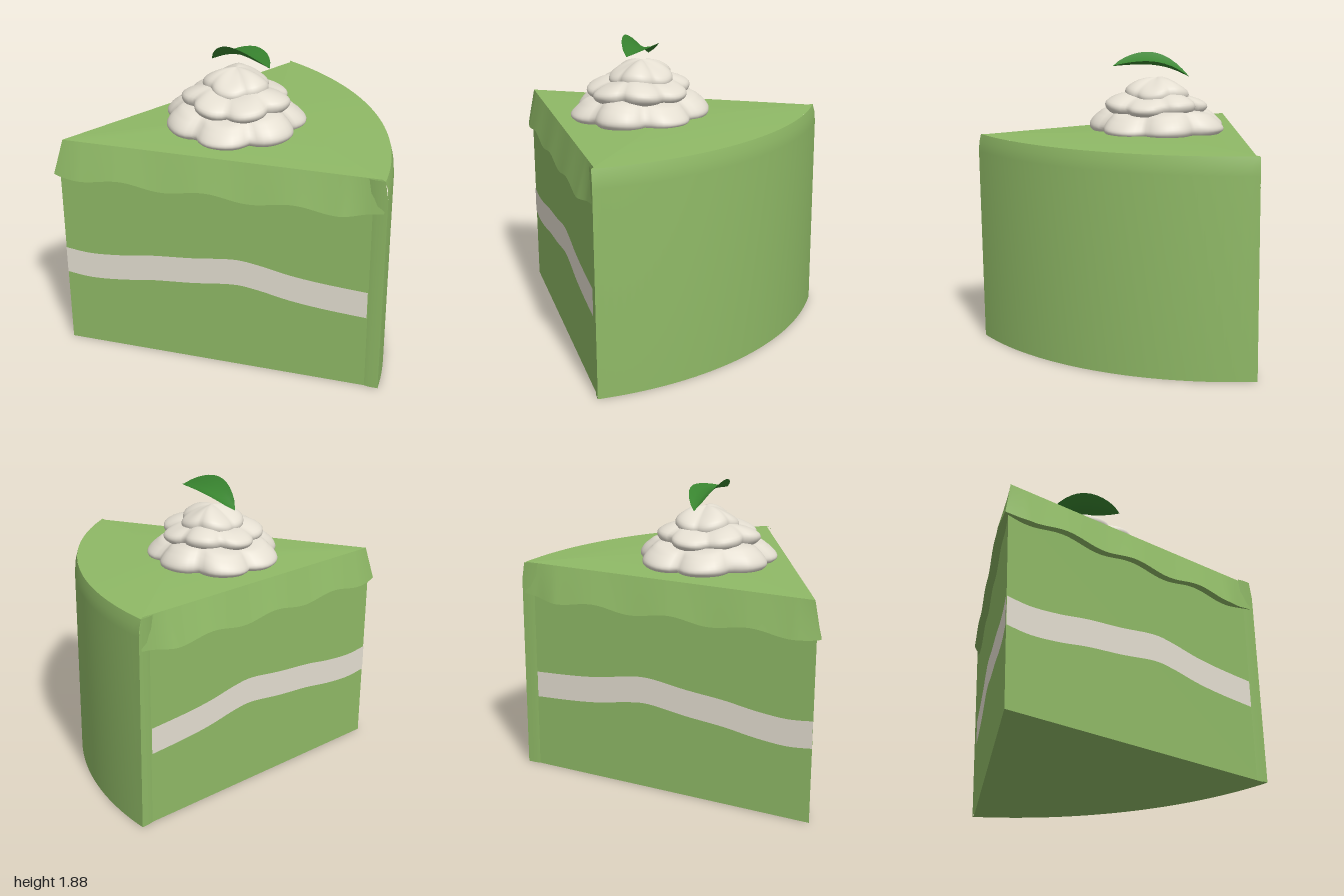
import * as THREE from 'three';
import { mergeVertices, toCreasedNormals } from 'three/addons/utils/BufferGeometryUtils.js';

const APEX = { x: -0.96, z: 0.82 }, WEDGE = Math.PI / 3, R = 1.957, TOP = 1.36;
const INSET = -0.013, RIM_ANGLE = 0.004;
const V = (x, y, z) => new THREE.Vector3(x, y, z);
const range = (n, f) => Array.from({ length: n + 1 }, (_, i) => f(i / n));

// Surface through rows of points; rows go upward, points run to the right
function grid(rows, flip = false, crease = 0.6) {
  const n = rows[0].length, idx = [];
  for (let i = 0; i < rows.length - 1; i++) {
    for (let j = 0; j < n - 1; j++) {
      const a = i * n + j, b = a + 1, c = b + n, d = a + n;
      if (flip) idx.push(a, c, b, a, d, c);
      else idx.push(a, b, c, a, c, d);
    }
  }
  const g = new THREE.BufferGeometry().setFromPoints(rows.flat());
  g.setIndex(idx);
  return toCreasedNormals(g, crease);
}

// Point on a cut face: s along it from the tip, o outward; side -1 is the mirrored cut
function onCut(side, s, y, o) {
  if (side < 0) {
    const c = Math.cos(WEDGE / 2), d = -Math.sin(WEDGE / 2), k = 2 * (s * c + o * d);
    [s, o] = [k * c - s, k * d - o];
  }
  return V(APEX.x + s, y, APEX.z + o);
}
const onArc = (r, t, y) => {
  const a = -RIM_ANGLE + t * (WEDGE + 2 * RIM_ANGLE);
  return V(APEX.x + r * Math.cos(a), y, APEX.z - r * Math.sin(a));
};

// Piecewise linear lookup
function lerpTable(table, x) {
  for (let i = 1; i < table.length; i++) {
    const [x0, y0] = table[i - 1], [x1, y1] = table[i];
    if (x <= x1) return y0 + (y1 - y0) * Math.max(0, (x - x0) / (x1 - x0));
  }
  return table[table.length - 1][1];
}

// One scalloped, slightly uneven ring of whipped cream
function swirlGeometry(profile, lobes, depth, phase) {
  const curve = new THREE.SplineCurve(profile.map(p => new THREE.Vector2(...p)));
  const pts = curve.getPoints(16).map(p => new THREE.Vector2(Math.max(p.x, 0), p.y));
  let g = new THREE.LatheGeometry(pts, 72);
  g.deleteAttribute('uv');
  g.deleteAttribute('normal');
  const p = g.attributes.position;
  for (let i = 0; i < p.count; i++) {
    const x = p.getX(i), y = p.getY(i), z = p.getZ(i), a = Math.atan2(z, x);
    const lump = Math.abs(Math.sin((a + phase) * lobes / 2));
    const k = 1 - depth * Math.pow(1 - lump, 1.4) + 0.03 * Math.sin(2 * a + phase);
    const bob = Math.min(1, y * 12) * Math.min(1, Math.hypot(x, z) * 8);
    p.setXYZ(i, x * k, y + 0.014 * Math.sin(3 * a + phase) * bob, z * k);
  }
  g = mergeVertices(g, 1e-4);
  g.computeVertexNormals();
  return g;
}

export function createModel() {
  const model = new THREE.Group();
  const green = new THREE.MeshStandardMaterial({ color: 0x8fb966 });
  green.name = 'matchaGreen';
  const cream = new THREE.MeshStandardMaterial({ color: 0xe4ded1 });
  cream.name = 'cream';
  const leafGreen = new THREE.MeshStandardMaterial({ color: 0x38842f, side: THREE.DoubleSide });
  leafGreen.name = 'leafGreen';
  const add = (name, geometry, material) => {
    const m = new THREE.Mesh(geometry, material);
    m.name = name;
    model.add(m);
    return m;
  };

  // Sponge wedge
  const sector = new THREE.Shape();
  sector.moveTo(APEX.x, -APEX.z);
  sector.lineTo(APEX.x + 1.92, -APEX.z);
  sector.absarc(APEX.x, -APEX.z, 1.92, 0, WEDGE, false);
  sector.lineTo(APEX.x, -APEX.z);
  const sponge = new THREE.ExtrudeGeometry(sector, { depth: 1.25, bevelEnabled: false, curveSegments: 32 });
  add('sponge', sponge.rotateX(-Math.PI / 2), green);

  // Curved outer icing with a softened top edge and a bottom rim
  const wall = [[1.92, 0], [R, 0], [R, 1.25], [R - 0.005, 1.31], [R - 0.018, TOP]];
  add('outerIcing', grid(wall.map(([r, y]) => range(40, t => onArc(r, t, y)))), green);

  // Gently domed icing on top
  const tip = -Math.sqrt(3) * INSET;
  const edge = side => range(16, t => onCut(side, tip + t * (R - 0.018 - tip), TOP, INSET));
  const outline = [...edge(1), ...range(32, t => onArc(R - 0.018, t, TOP)), ...edge(-1).reverse().slice(0, -1)];
  outline.push(outline[0]);
  const centre = V(0.17, TOP, 0.16);
  add('topIcing', grid([1, 0.75, 0.5, 0.25, 0].map(f => outline.map(p => {
    const q = centre.clone().lerp(p, f);
    q.y += 0.02 * (1 - f * f);
    return q;
  }))), green);

  // Both cut faces: filling, icing edge and overhanging lip
  const filling = new THREE.SplineCurve([
    [0, 0.56], [0.16, 0.545], [0.36, 0.56], [0.56, 0.59], [0.81, 0.613], [1.06, 0.645],
    [1.21, 0.633], [1.41, 0.595], [1.61, 0.573], [1.87, 0.557],
  ].map(p => new THREE.Vector2(...p))).getPoints(45);
  const overhang = [[0, 0.019], [0.12, 0.046], [1.71, 0.046], [1.83, 0.016], [1.939, 0.009]];
  for (const side of [1, -1]) {
    const label = side > 0 ? 'front' : 'back', flip = side < 0;
    add(label + 'Filling', grid([-0.085, 0.085].map(h =>
      filling.map(p => onCut(side, p.x, p.y + h, 0.003))), flip), cream);

    const rim = [[1.865, -0.002], [1.9, 0.006], [R, 0.008]];
    add(label + 'IcingEdge', grid([0, 1.25, TOP].map((y, i) =>
      rim.map(([s, o]) => onCut(side, i === 2 ? s - 0.018 : s, y, o))), flip, 1), green);

    const lipRow = (f, inner) => range(80, t => {
      const s = t * 1.939, o = lerpTable(overhang, s);
      const wave = 1.145 + 0.016 * Math.cos((s - 0.91) / 0.52 * Math.PI * 2);
      const off = inner ? -0.002 : THREE.MathUtils.lerp(o, INSET, f);
      // Both lips meet in a mitre behind the tip
      const mitre = -Math.sqrt(3) * off * Math.max(0, 1 - s / 0.12);
      return onCut(side, s + mitre, THREE.MathUtils.lerp(wave, TOP, f), off);
    });
    add(label + 'Lip', grid([lipRow(0, true), lipRow(0), lipRow(0.5), lipRow(1)], flip), green);
  }

  // Whipped cream in three shrinking tiers
  const tiers = [
    ['lowerCream', [[0.4, 0], [0.435, 0.03], [0.43, 0.065], [0.38, 0.115], [0.3, 0.15], [0, 0.17]], 7, 0.16, -0.16, -0.04, TOP, 0.29],
    ['middleCream', [[0.2, 0], [0.29, 0.03], [0.33, 0.07], [0.31, 0.11], [0.2, 0.15], [0, 0.16]], 7, 0.16, 0.3, -0.025, 1.46, 0.3],
    ['topCream', [[0.16, 0], [0.2, 0.04], [0.2, 0.085], [0.15, 0.125], [0.07, 0.158], [0, 0.17]], 5, 0.13, 0.2, -0.03, 1.55, 0.28],
  ];
  for (const [name, profile, lobes, depth, phase, x, y, z] of tiers) {
    add(name, swirlGeometry(profile, lobes, depth, phase), cream).position.set(x, y, z);
  }

  // Folded leaf: low spine with raised edges
  const spine = new THREE.CatmullRomCurve3([
    V(-0.215, 1.72, 0.185), V(-0.1, 1.775, 0.235), V(0.01, 1.8, 0.29), V(0.12, 1.8, 0.36), V(0.215, 1.79, 0.435),
  ]);
  const leafRow = (w, lift) => range(12, t => {
    const p = spine.getPoint(t), k = Math.pow(Math.sin(Math.PI * t), 0.75);
    return p.add(V(-0.5 * w * k, lift * k, 0.86 * w * k));
  });
  add('leaf', grid([leafRow(0.105, 0.075), leafRow(0.055, 0.025), leafRow(0, 0),
    leafRow(-0.055, 0.008), leafRow(-0.105, 0.03)], false, 1), leafGreen);

  return model;
}
